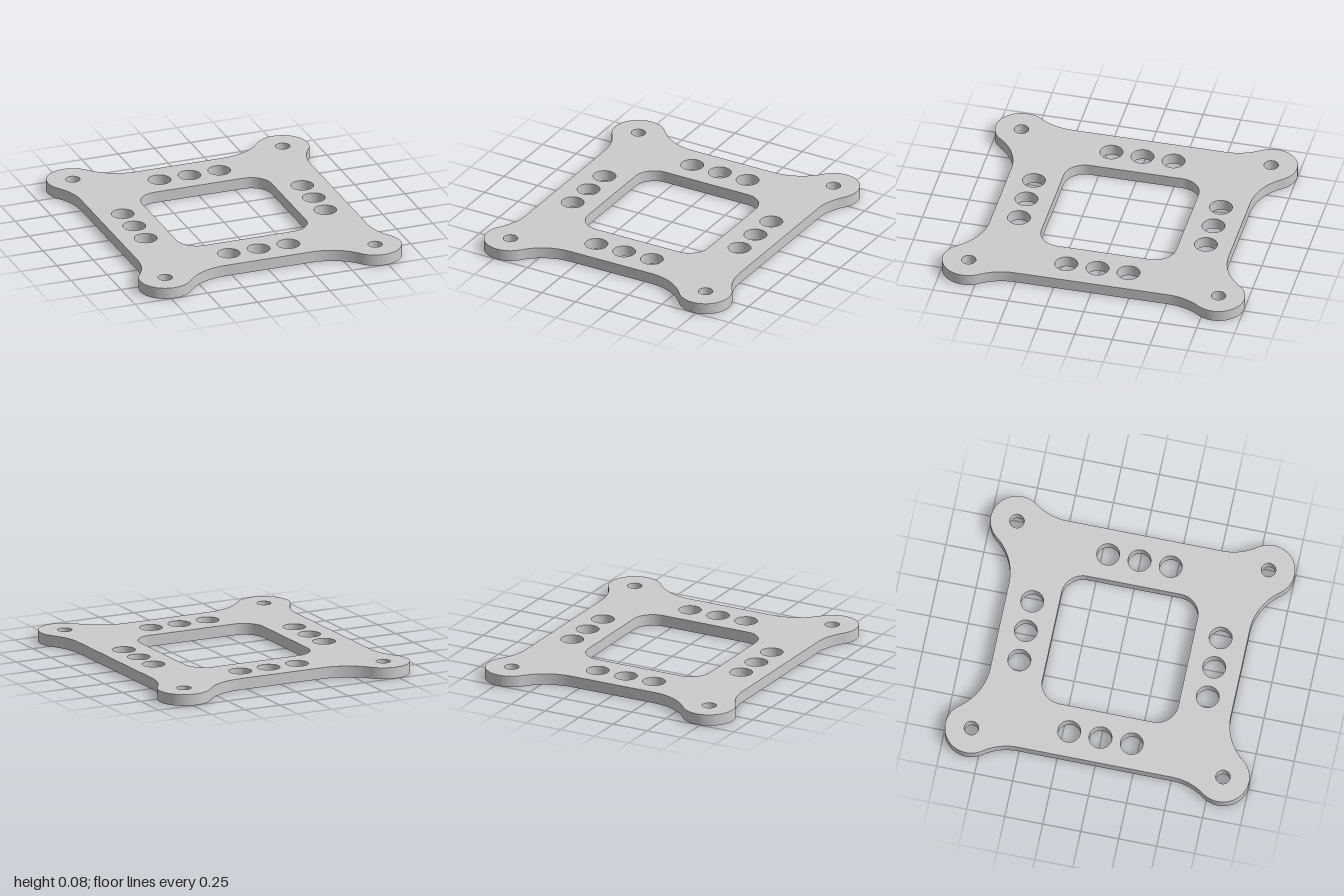
import * as THREE from 'three';
import { toCreasedNormals } from 'three/addons/utils/BufferGeometryUtils.js';

const HALF = 0.793;                       // half width of the square body
const THICK = 0.075;
const LUG = { x: 0.725, y: 0.828, r: 0.172, hole: 0.047 };
const FILLET = 0.37;                      // concave radius blending lugs into the body

function circle(x, y, r) {
  return new THREE.Path().absarc(x, y, r, 0, Math.PI * 2, true);
}

// One corner of the outline: side fillet, round lug, end fillet
function cornerPoints() {
  const reach = FILLET + LUG.r;
  const ax = HALF + FILLET;
  const ay = LUG.y - Math.sqrt(reach ** 2 - (ax - LUG.x) ** 2);
  const by = HALF + FILLET;
  const bx = LUG.x - Math.sqrt(reach ** 2 - (by - LUG.y) ** 2);
  const toA = Math.atan2(ay - LUG.y, ax - LUG.x);
  const toB = Math.atan2(by - LUG.y, bx - LUG.x);
  const path = new THREE.Path();
  path.absarc(ax, ay, FILLET, Math.PI, toA + Math.PI, true);
  path.absarc(LUG.x, LUG.y, LUG.r, toA, toB, false);
  path.absarc(bx, by, FILLET, toB - Math.PI, -Math.PI / 2, true);
  return path.getPoints(20);
}

function roundedSquare(h, r) {
  const path = new THREE.Path();
  for (let i = 0; i < 4; i++) {
    const a = i * Math.PI / 2;
    const sx = i === 0 || i === 3 ? 1 : -1;
    const sy = i < 2 ? 1 : -1;
    path.absarc(sx * (h - r), sy * (h - r), r, a, a + Math.PI / 2, false);
  }
  path.closePath();
  return path;
}

export function createModel() {
  const group = new THREE.Group();
  group.name = 'mountingPlate';

  // Mirror the corner into all four quadrants, counter-clockwise
  const corner = cornerPoints();
  const outline = [];
  for (const [sx, sy] of [[1, 1], [-1, 1], [-1, -1], [1, -1]]) {
    const pts = corner.map((p) => new THREE.Vector2(p.x * sx, p.y * sy));
    outline.push(...(sx * sy < 0 ? pts.reverse() : pts));
  }
  const shape = new THREE.Shape(outline);

  // Central window
  shape.holes.push(roundedSquare(0.447, 0.14));

  // Screw holes in the lugs
  for (const sx of [-1, 1]) {
    for (const sy of [-1, 1]) shape.holes.push(circle(sx * LUG.x, sy * LUG.y, LUG.hole));
  }

  // Rows of three larger holes along each side
  for (const side of [-0.62, 0.62]) {
    for (const along of [-0.206, 0, 0.206]) {
      shape.holes.push(circle(side, along, 0.074), circle(along, side, 0.074));
    }
  }

  const extruded = new THREE.ExtrudeGeometry(shape, { depth: THICK, bevelEnabled: false, curveSegments: 20 });
  extruded.rotateX(-Math.PI / 2);
  const plate = new THREE.Mesh(
    toCreasedNormals(extruded, Math.PI / 6),
    new THREE.MeshStandardMaterial({ color: 0xcccccc })
  );
  plate.name = 'plate';
  group.add(plate);
  return group;
}
